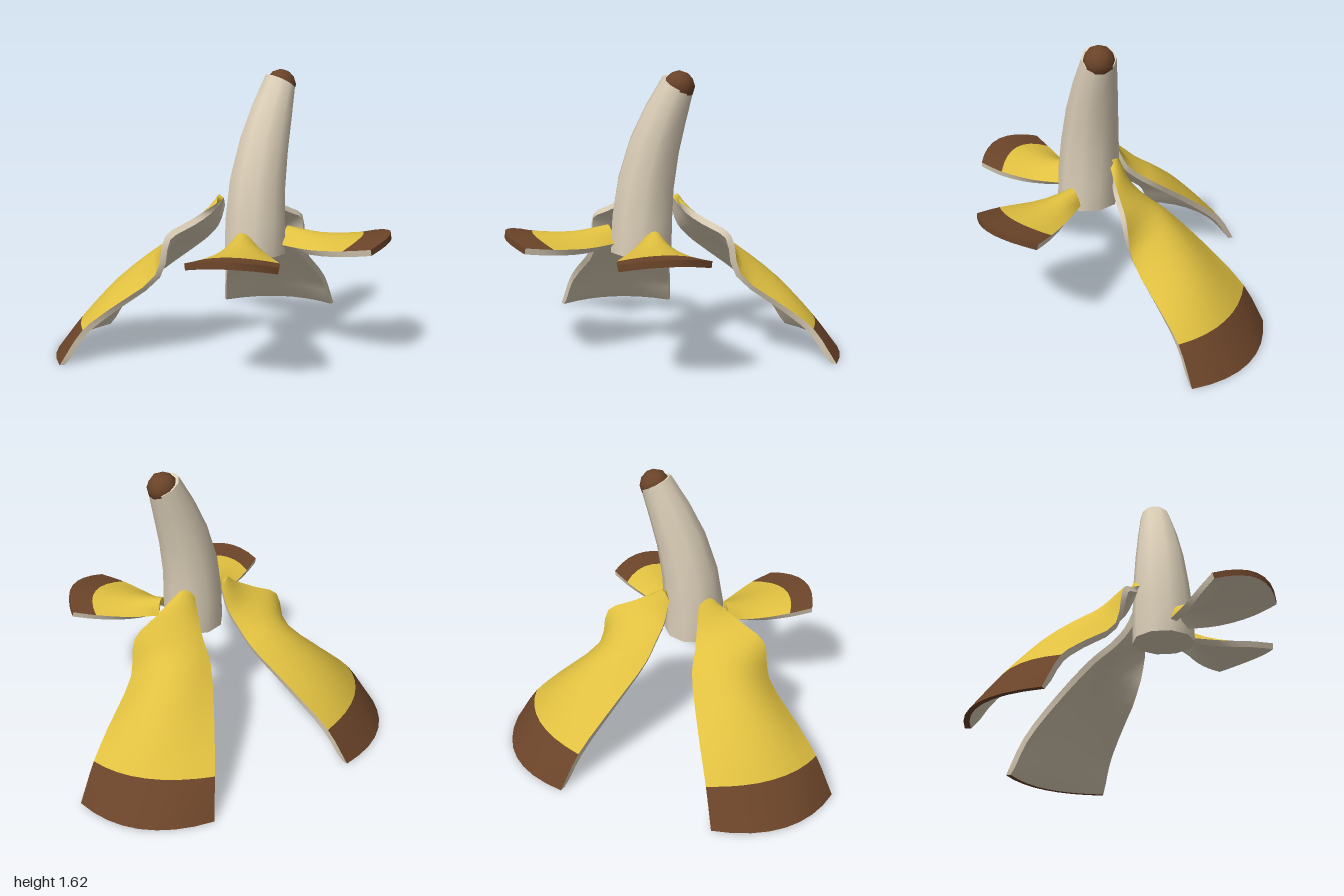
import * as THREE from 'three';
import { mergeVertices } from 'three/addons/utils/BufferGeometryUtils.js';

const V = (x, y, z) => new THREE.Vector3(x, y, z);

const makeMaterial = (name, color) => {
  const m = new THREE.MeshStandardMaterial({ color });
  m.name = name;
  return m;
};

// Smooth skin over rows of points; it faces (along rows) x (along columns)
function surface(name, rows, material) {
  const w = rows[0].length, index = [];
  for (let i = 0; i < rows.length - 1; i++) {
    for (let j = 0; j < w - 1; j++) {
      const a = i * w + j, b = a + w;
      index.push(a, b, a + 1, b, b + 1, a + 1);
    }
  }
  let geo = new THREE.BufferGeometry();
  geo.setAttribute('position', new THREE.Float32BufferAttribute(rows.flat().flatMap(p => p.toArray()), 3));
  geo.setIndex(index);
  geo = mergeVertices(geo, 1e-5);
  geo.computeVertexNormals();
  const mesh = new THREE.Mesh(geo, material);
  mesh.name = name;
  return mesh;
}

// Thick arched flap through three guide lines (edge, crest, edge)
function peelFlap(name, edgeA, crest, edgeB, thickness, mirror, mats) {
  const sub = 3, cols = 8, stations = crest.length - 1, n = stations * sub;
  const lines = [edgeA, crest, edgeB].map(l => new THREE.CatmullRomCurve3(l.map(p => V(...p))));
  const top = [];
  for (let i = 0; i <= n; i++) {
    const [a, m, b] = lines.map(l => l.getPoint(i / n));
    const row = [];
    for (let j = 0; j <= cols; j++) {
      const t = j / cols;
      const p = V(0, 0, 0)
        .addScaledVector(a, (1 - t) * (1 - 2 * t))
        .addScaledVector(m, 4 * t * (1 - t))
        .addScaledVector(b, t * (2 * t - 1));
      if (mirror) p.x *= -1;
      row.push(p);
    }
    top.push(mirror ? row.reverse() : row);
  }
  // Lining offset inward along the surface normal, kept above the floor
  const under = top.map((row, i) => row.map((p, j) => {
    const u = top[Math.min(i + 1, n)][j].clone().sub(top[Math.max(i - 1, 0)][j]);
    const v = row[Math.min(j + 1, cols)].clone().sub(row[Math.max(j - 1, 0)]);
    const q = p.clone().addScaledVector(u.cross(v).normalize(), -thickness);
    q.y = Math.max(q.y, 0);
    return q;
  }));
  const k = n - sub;
  const g = new THREE.Group();
  g.name = name;
  g.add(
    surface('peelSkin', top.slice(0, k + 1), mats.yellow),
    surface('peelTip', top.slice(k), mats.brown),
    surface('peelLining', under.map(r => [...r].reverse()), mats.cream),
    surface('sideRimA', top.map((r, i) => [under[i][0], r[0]]), mats.cream),
    surface('sideRimB', top.map((r, i) => [r[cols], under[i][cols]]), mats.cream),
    surface('tipRim', top[n].map((p, j) => [under[n][j], p]), mats.brown),
    surface('rootRim', top[0].map((p, j) => [p, under[0][j]]), mats.yellow)
  );
  return g;
}

export function createModel() {
  const mats = {
    cream: makeMaterial('cream', 0xdccfb8),
    yellow: makeMaterial('yellow', 0xe0c040),
    brown: makeMaterial('brown', 0x6b4429)
  };
  const model = new THREE.Group();
  model.name = 'peeledFruit';

  // Curved tapering fruit: x, y, z, radius of each ring
  const spine = [
    [0, 0.615, 0.175, 0.177], [0.005, 0.8, 0.172, 0.174], [0.025, 1.0, 0.163, 0.162],
    [0.075, 1.21, 0.152, 0.143], [0.14, 1.39, 0.137, 0.12], [0.208, 1.55, 0.12, 0.093]
  ];
  const sides = 10;
  const tilt = [0, 0.06, 0.18, 0.3, 0.38, 0.5];
  const rings = spine.map(([x, y, z, r], i) => {
    const across = V(Math.cos(tilt[i]), -Math.sin(tilt[i]), 0);
    return Array.from({ length: sides + 1 }, (_, s) => {
      const a = (s % sides) / sides * Math.PI * 2;
      return V(x, y, z + r * Math.cos(a)).addScaledVector(across, -r * Math.sin(a));
    });
  });
  const fan = i => rings[i].map(() => V(...spine[i].slice(0, 3)));
  model.add(
    surface('fruit', rings, mats.cream),
    surface('fruitBase', [fan(0), rings[0]], mats.cream),
    surface('fruitEnd', [rings[5], fan(5)], mats.cream)
  );

  // Dark tip of the fruit
  const tip = new THREE.Mesh(new THREE.IcosahedronGeometry(0.086, 1), mats.brown);
  tip.name = 'fruitTip';
  tip.position.set(0.214, 1.536, 0.12);
  model.add(tip);

  // Long rear flaps reaching the floor, and short raised front flaps
  const rear = {
    outer: [[0.18, 0.89, 0.06], [0.33, 0.81, 0.03], [0.48, 0.73, 0], [0.53, 0.51, -0.03],
      [0.75, 0.32, -0.16], [0.88, 0.2, -0.24], [1, 0, -0.3]],
    crest: [[0.14, 0.93, 0.02], [0.2, 0.79, -0.04], [0.29, 0.71, -0.12], [0.39, 0.62, -0.22],
      [0.57, 0.42, -0.39], [0.71, 0.21, -0.52], [0.82, 0, -0.64]],
    inner: [[0.09, 0.88, 0], [0.1, 0.76, -0.06], [0.12, 0.68, -0.14], [0.14, 0.6, -0.25],
      [0.25, 0.42, -0.47], [0.38, 0.2, -0.69], [0.45, 0, -0.8]]
  };
  const front = {
    inner: [[0.07, 0.67, 0.31], [0.13, 0.67, 0.5], [0.21, 0.69, 0.68], [0.3, 0.71, 0.8]],
    crest: [[0.16, 0.76, 0.27], [0.28, 0.73, 0.42], [0.44, 0.735, 0.59], [0.54, 0.75, 0.7]],
    outer: [[0.2, 0.67, 0.23], [0.36, 0.67, 0.31], [0.53, 0.69, 0.4], [0.645, 0.71, 0.47]]
  };
  for (const mirror of [false, true]) {
    const side = mirror ? 'Right' : 'Left';
    model.add(
      peelFlap('rearPeel' + side, rear.outer, rear.crest, rear.inner, 0.035, mirror, mats),
      peelFlap('frontPeel' + side, front.inner, front.crest, front.outer, 0.035, mirror, mats)
    );
  }
  return model;
}
